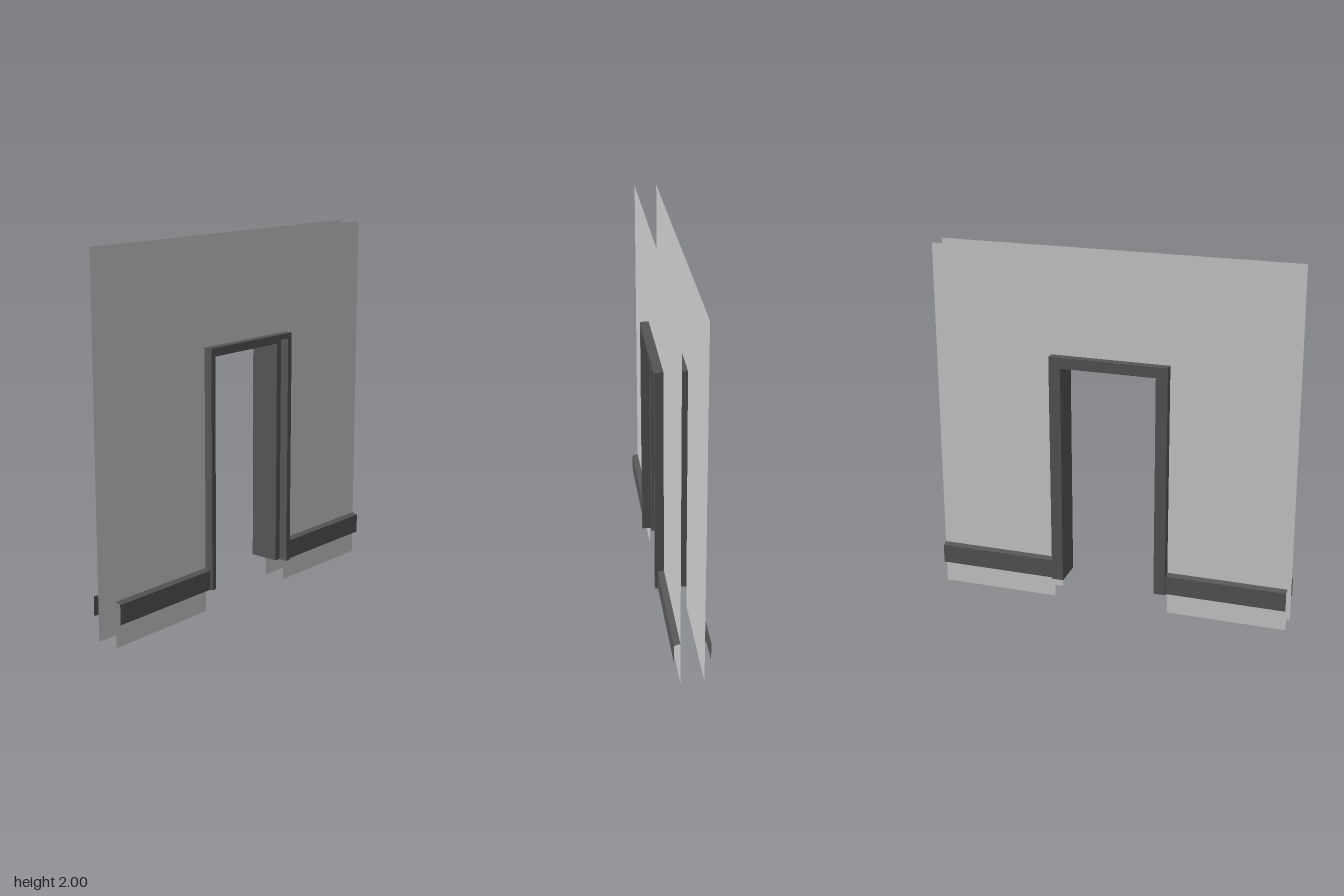
import * as THREE from 'three';

const wallMat = new THREE.MeshStandardMaterial({ color: 0xcccccc, side: THREE.DoubleSide });
const trimMat = new THREE.MeshStandardMaterial({ color: 0x555555, side: THREE.DoubleSide, flatShading: true });

const HALF = 1, DOOR = 0.33, DOOR_TOP = 1.44, FLOOR = 0.13, WALL_Z = 0.0625;

// Joins successive cross-sections with quads; closed rings wrap round.
function loft(sections, closed, caps = []) {
  const pos = [];
  const tri = (a, b, c) => pos.push(...a, ...b, ...c);
  for (let s = 0; s + 1 < sections.length; s++) {
    const a = sections[s], b = sections[s + 1], n = a.length;
    for (let i = 0; i < (closed ? n : n - 1); i++) {
      const j = (i + 1) % n;
      tri(a[i], a[j], b[j]);
      tri(a[i], b[j], b[i]);
    }
  }
  const first = sections[0], last = sections[sections.length - 1];
  for (const [i, j, k] of caps) {
    tri(first[i], first[k], first[j]);
    tri(last[i], last[j], last[k]);
  }
  const geo = new THREE.BufferGeometry();
  geo.setAttribute('position', new THREE.Float32BufferAttribute(pos, 3));
  geo.computeVertexNormals();
  return geo;
}

// Thin wall sheet with the doorway cut out from the floor up
function wallSheet() {
  const s = new THREE.Shape([
    [-HALF, 0], [-DOOR, 0], [-DOOR, DOOR_TOP], [DOOR, DOOR_TOP],
    [DOOR, 0], [HALF, 0], [HALF, 2], [-HALF, 2],
  ].map(([x, y]) => new THREE.Vector2(x, y)));
  return new THREE.ShapeGeometry(s);
}

// Rebated door lining, mitred at the two top corners: [inset, head inset, z]
function doorFrame() {
  const profile = [
    [0, 0, -0.11], [0, 0, 0.11], [0.03, 0.03, 0.11],
    [0.03, 0.03, 0.06], [0.065, 0.06, 0.06], [0.065, 0.06, -0.11],
  ];
  const section = (side, top) => profile.map(([d, h, z]) =>
    [side * (DOOR - d), top ? DOOR_TOP - h : FLOOR, z]);
  return loft(
    [section(-1, false), section(-1, true), section(1, true), section(1, false)],
    true, [[3, 4, 5], [3, 5, 0], [3, 0, 1], [3, 1, 2]]);
}

// Open skirting strip: upright face with a sloped top
function skirting(x0, x1) {
  const profile = [[FLOOR, 0.095], [0.237, 0.095], [0.246, WALL_Z]];
  const section = (x) => profile.map(([y, z]) => [x, y, z]);
  return loft([section(x1), section(x0)], false);
}

export function createModel() {
  const model = new THREE.Group();
  model.name = 'doorwayWall';
  const add = (parent, name, geo, mat) => {
    const mesh = new THREE.Mesh(geo, mat);
    mesh.name = name;
    parent.add(mesh);
    return mesh;
  };

  // Front and back faces are the same, turned half round
  ['front', 'back'].forEach((face, i) => {
    const side = new THREE.Group();
    side.name = face + 'Side';
    side.rotation.y = i * Math.PI;
    add(side, face + 'Wall', wallSheet(), wallMat).position.z = WALL_Z;
    add(side, face + 'SkirtingA', skirting(-HALF, -DOOR), trimMat);
    add(side, face + 'SkirtingB', skirting(DOOR, HALF), trimMat);
    model.add(side);
  });

  add(model, 'doorFrame', doorFrame(), trimMat);
  return model;
}
